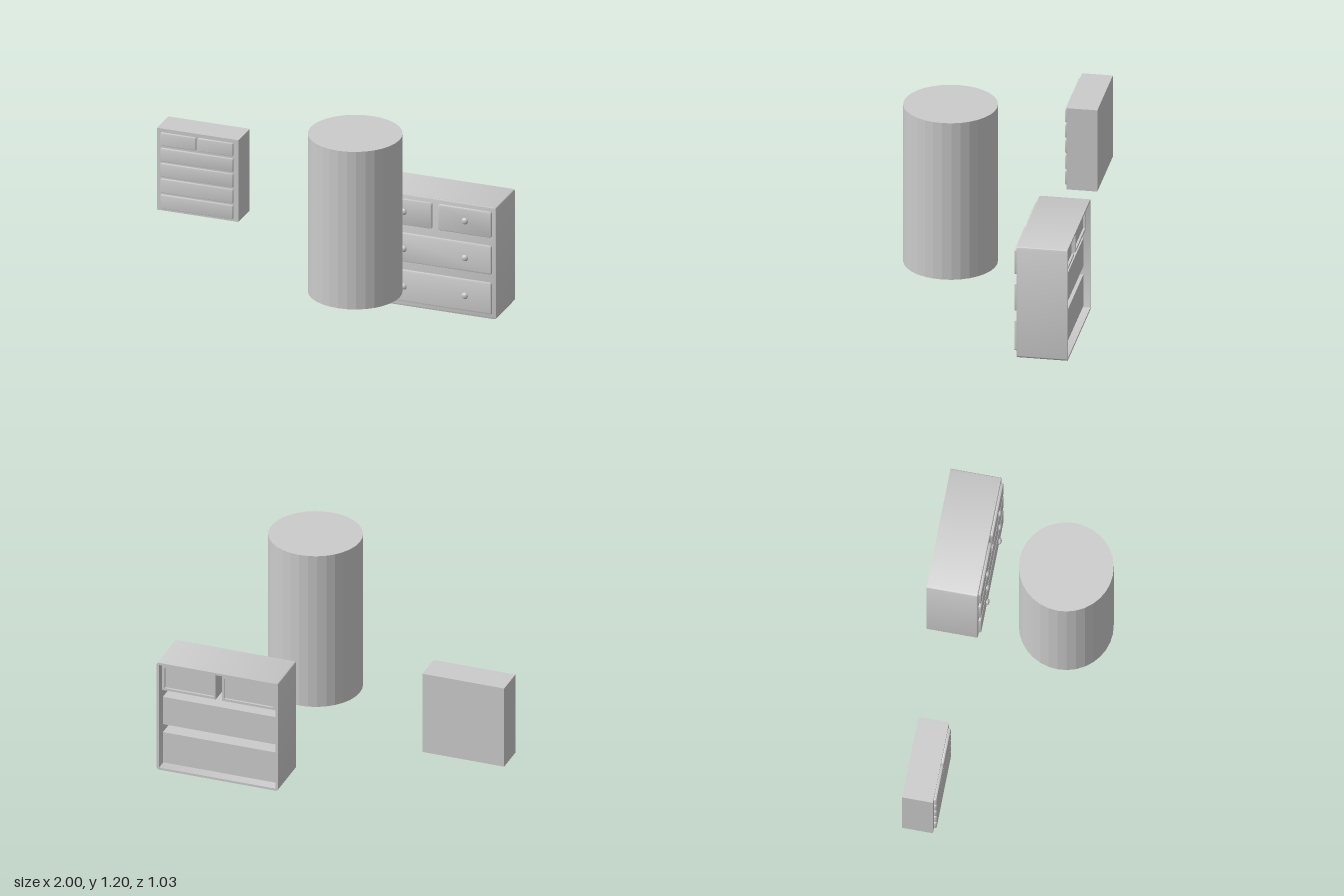
import * as THREE from 'three';
import { toCreasedNormals } from 'three/addons/utils/BufferGeometryUtils.js';

const material = new THREE.MeshStandardMaterial({ color: 0xcccccc, side: THREE.DoubleSide });
const flat = new THREE.MeshStandardMaterial({ color: 0xcccccc, flatShading: true });

function add(parent, name, geometry, mat = material) {
  const mesh = new THREE.Mesh(geometry, mat);
  mesh.name = name;
  parent.add(mesh);
  return mesh;
}

// Box given by its limits on each axis
function box(parent, name, x0, x1, y0, y1, z0, z1) {
  const mesh = add(parent, name, new THREE.BoxGeometry(x1 - x0, y1 - y0, z1 - z0));
  mesh.position.set((x0 + x1) / 2, (y0 + y1) / 2, (z0 + z1) / 2);
  return mesh;
}

// Rectangle with rounded corners
function roundedRect(Type, x0, x1, y0, y1, r) {
  const s = new Type();
  s.absarc(x1 - r, y0 + r, r, -Math.PI / 2, 0);
  s.absarc(x1 - r, y1 - r, r, 0, Math.PI / 2);
  s.absarc(x0 + r, y1 - r, r, Math.PI / 2, Math.PI);
  s.absarc(x0 + r, y0 + r, r, Math.PI, Math.PI * 1.5);
  s.closePath();
  return s;
}

// Panel with bevelled front edges, from z0 (back) to z1 (front)
function panel(parent, name, x0, x1, y0, y1, z0, z1, bevel, r = 0.006) {
  const b = bevel;
  const shape = roundedRect(THREE.Shape, x0 + b, x1 - b, y0 + b, y1 - b, r);
  const g = new THREE.ExtrudeGeometry(shape, {
    depth: z1 - z0 - 2 * b, bevelThickness: b, bevelSize: b, bevelSegments: 2, curveSegments: 3,
  });
  g.translate(0, 0, z0 + b);
  return add(parent, name, toCreasedNormals(g, 0.6));
}

// Round knob on a short stem, pointing to the front
const knobProfile = [[0, 0], [0.009, 0], [0.007, 0.008], [0.017, 0.011], [0.019, 0.015],
  [0.015, 0.021], [0.008, 0.024], [0, 0.025]].map(([x, y]) => new THREE.Vector2(x, y));
const knobGeometry = new THREE.LatheGeometry(knobProfile, 16).rotateX(Math.PI / 2);

function createDresser() {
  const g = new THREE.Group();
  g.name = 'dresser';
  const [x0, x1, h, back, front] = [0.285, 0.995, 0.665, -0.513, -0.228];

  // Open-backed shell
  const shell = roundedRect(THREE.Shape, x0, x1, 0, h, 0.012);
  shell.holes.push(roundedRect(THREE.Path, x0 + 0.013, x1 - 0.013, 0.013, h - 0.013, 0.004));
  const shellGeometry = new THREE.ExtrudeGeometry(shell, { depth: front - back - 0.01, bevelEnabled: false, curveSegments: 4 });
  shellGeometry.translate(0, 0, back);
  add(g, 'caseShell', toCreasedNormals(shellGeometry, 0.6));
  panel(g, 'caseFront', x0, x1, 0, h, front - 0.014, front, 0.005, 0.008);

  // Drawers: left edge, right edge, bottom, top, knob positions
  const drawers = [
    [0.308, 0.972, 0.03, 0.218, [0.46, 0.82]],
    [0.308, 0.972, 0.268, 0.438, [0.46, 0.82]],
    [0.308, 0.622, 0.487, 0.64, [0.46]],
    [0.658, 0.972, 0.487, 0.64, [0.82]],
  ];
  drawers.forEach(([a, b, c, d, knobs], i) => {
    panel(g, 'drawerFront', a, b, c, d, front - 0.008, -0.213, 0.006);
    box(g, 'drawerBox', a, b, c, d, -0.478, front - 0.01);
    // Raised rim on the back of the small top drawers
    if (i > 1) {
      const rim = roundedRect(THREE.Shape, a, b, c, d, 0.002);
      rim.holes.push(roundedRect(THREE.Path, a + 0.014, b - 0.014, c + 0.014, d - 0.014, 0.002));
      const rimGeometry = new THREE.ExtrudeGeometry(rim, { depth: 0.012, bevelEnabled: false, curveSegments: 1 });
      add(g, 'drawerRim', rimGeometry.translate(0, 0, -0.49));
    }
    for (const x of knobs) {
      add(g, 'knob', knobGeometry).position.set(x, [0.125, 0.35, 0.57, 0.57][i], -0.22);
    }
  });
  return g;
}

function createSmallChest() {
  const g = new THREE.Group();
  g.name = 'smallChest';
  box(g, 'chestCase', -1, -0.522, 0.345, 0.832, -0.405, -0.234);

  // Four wide drawers with a split pair above
  const rows = [[0.36, 0.443], [0.455, 0.538], [0.55, 0.63], [0.642, 0.72]];
  for (const [a, b] of rows) panel(g, 'chestDrawer', -0.975, -0.549, a, b, -0.236, -0.219, 0.004, 0.002);
  for (const [a, b] of [[-0.975, -0.767], [-0.757, -0.549]]) {
    panel(g, 'chestDrawer', a, b, 0.735, 0.812, -0.236, -0.219, 0.004, 0.002);
  }
  return g;
}

export function createModel() {
  const model = new THREE.Group();
  model.name = 'furnitureSet';
  model.add(createDresser(), createSmallChest());

  // Free-standing raised column
  const column = add(model, 'column', new THREE.CylinderGeometry(0.26, 0.26, 0.938, 32), flat);
  column.position.set(0.355, 0.733, 0.253);
  return model;
}
